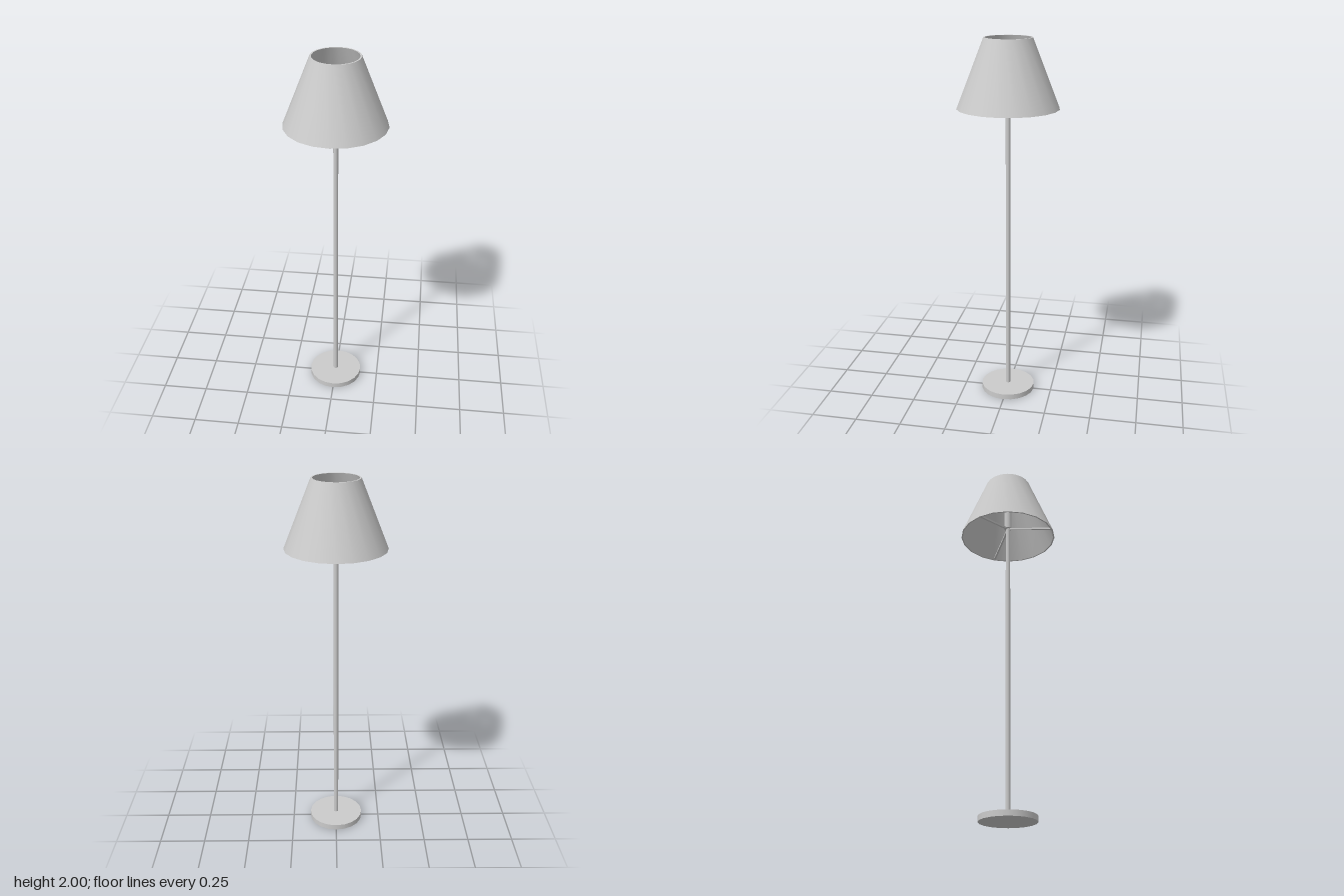
import * as THREE from 'three';
import { toCreasedNormals } from 'three/addons/utils/BufferGeometryUtils.js';

const SIDES = 20;
const SHADE_BOTTOM = 1.64, HUB_Y = 1.7;

export function createModel() {
  const model = new THREE.Group();
  model.name = 'floorLamp';
  const material = new THREE.MeshStandardMaterial({ color: 0xcccccc });

  const add = (name, geometry, y = 0) => {
    const mesh = new THREE.Mesh(geometry, material);
    mesh.name = name;
    mesh.position.y = y;
    model.add(mesh);
    return mesh;
  };
  // Revolves [radius, height] pairs, keeping sharp rims
  const lathe = (profile, sides = SIDES) => toCreasedNormals(
    new THREE.LatheGeometry(profile.map(([r, y]) => new THREE.Vector2(r, y)), sides), 0.6);

  // Base disc and pole
  add('base', new THREE.CylinderGeometry(0.15, 0.15, 0.03, SIDES), 0.015);
  add('pole', new THREE.CylinderGeometry(0.013, 0.013, HUB_Y - 0.03, 12), (HUB_Y + 0.03) / 2);

  // Hollow conical shade with a thin wall
  add('shade', lathe([
    [0.27, SHADE_BOTTOM], [0.127, 2], [0.119, 2], [0.262, SHADE_BOTTOM], [0.27, SHADE_BOTTOM],
  ]));

  // Socket above the pole, and the bulb in it
  add('socket', new THREE.CylinderGeometry(0.022, 0.022, 0.12, 12), HUB_Y + 0.06);
  const bulb = [[0.02, 1.81], [0.025, 1.825]];
  for (let i = 0; i <= 8; i++) {
    const a = -0.8 + (Math.PI / 2 + 0.8) * i / 8;
    bulb.push([Math.max(0, 0.05 * Math.cos(a)), 1.87 + 0.05 * Math.sin(a)]);
  }
  add('bulb', new THREE.LatheGeometry(bulb.map(([r, y]) => new THREE.Vector2(r, y)), SIDES));

  // Three spokes sloping from the hub to corners of the shade's lower rim
  const hub = new THREE.Vector3(0, HUB_Y, 0);
  for (const step of [0, 7, 14]) {
    const a = step * 2 * Math.PI / SIDES;
    const end = new THREE.Vector3(Math.sin(a) * 0.263, SHADE_BOTTOM + 0.008, Math.cos(a) * 0.263);
    const spoke = add('shadeSpoke', new THREE.BoxGeometry(0.01, 0.01, hub.distanceTo(end)));
    spoke.position.copy(hub).lerp(end, 0.5);
    spoke.lookAt(end);
  }
  return model;
}
